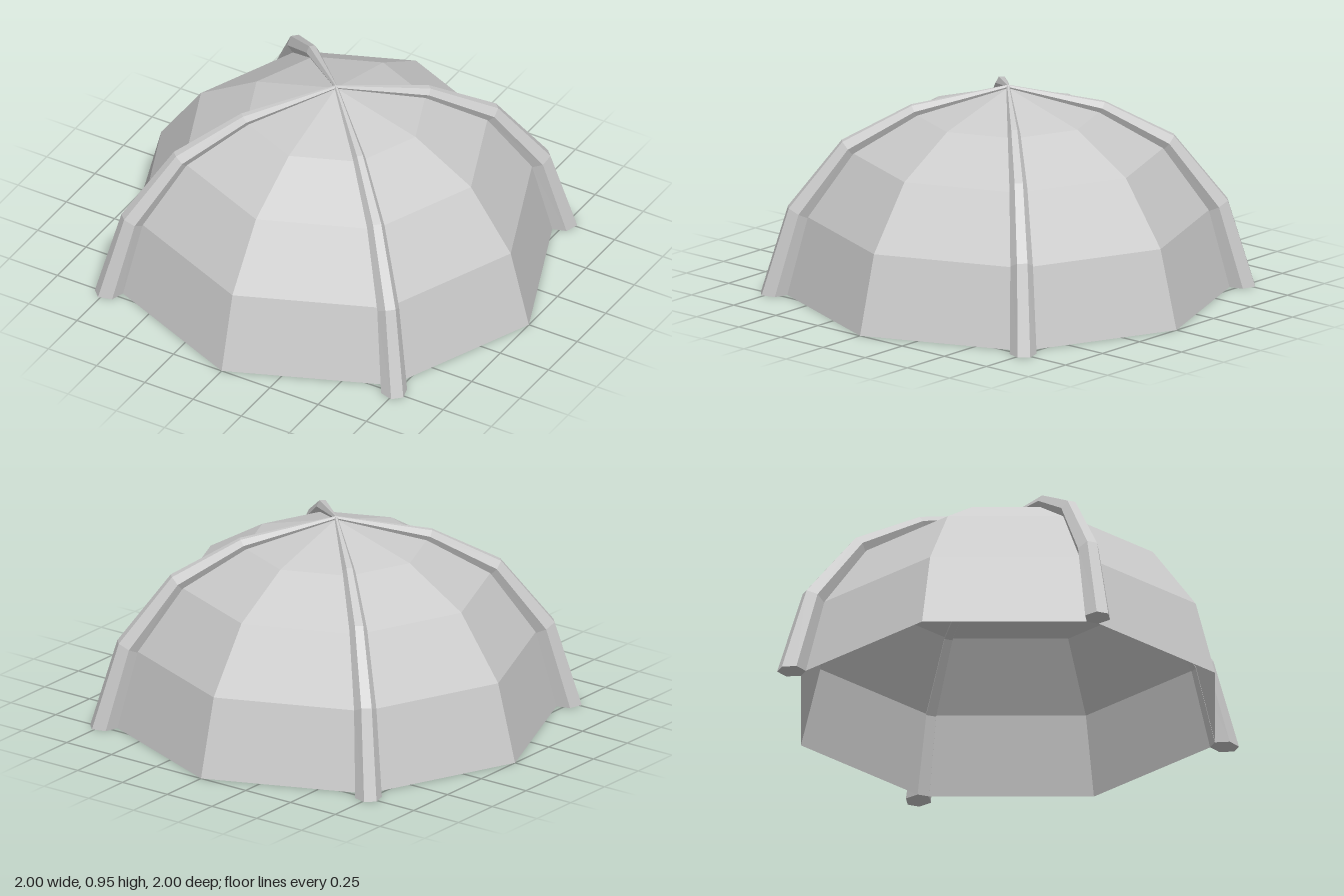
import * as THREE from 'three';

// canopy profile: radius, height, plus rib lean (degrees) and rib taper
const rings = [
  { r: 1.0, y: 0, lean: 0, taper: 1 },
  { r: 0.906, y: 0.358, lean: 29, taper: 0.84 },
  { r: 0.7, y: 0.648, lean: 53, taper: 0.67 },
  { r: 0.412, y: 0.818, lean: 67, taper: 0.48 },
  { r: 0, y: 0.935, lean: 90, taper: 0.13 },
];

// hexagonal rib section: distance outward from the canopy, sideways offset
const section = [
  [0.103, -0.028], [0.103, 0.028], [0.046, 0.06],
  [-0.013, 0.028], [-0.013, -0.028], [0.046, -0.06],
];

// Tapered rib lofted through the rings, running out along +x
function ribGeometry() {
  const n = section.length;
  const positions = [];
  const index = [];
  for (const { r, y, lean, taper } of rings) {
    const a = THREE.MathUtils.degToRad(lean);
    for (const [out, side] of section) {
      positions.push(
        r + Math.cos(a) * out * taper,
        y + Math.sin(a) * out * taper,
        side * taper
      );
    }
  }
  for (let i = 0; i < rings.length - 1; i++) {
    for (let k = 0; k < n; k++) {
      const a = i * n + k;
      const b = i * n + ((k + 1) % n);
      index.push(a, a + n, b + n, a, b + n, b);
    }
  }
  // end caps
  const top = (rings.length - 1) * n;
  for (let k = 1; k < n - 1; k++) {
    index.push(0, k, k + 1, top, top + k + 1, top + k);
  }
  const geometry = new THREE.BufferGeometry();
  geometry.setAttribute('position', new THREE.Float32BufferAttribute(positions, 3));
  geometry.setIndex(index);
  const flat = geometry.toNonIndexed();
  flat.computeVertexNormals();
  return flat;
}

export function createModel() {
  const group = new THREE.Group();
  group.name = 'domeTent';
  const fabric = new THREE.MeshStandardMaterial({
    color: 0xcccccc, flatShading: true, side: THREE.DoubleSide,
  });
  const pole = new THREE.MeshStandardMaterial({ color: 0xcccccc, flatShading: true });

  // Eight-sided canopy, open underneath
  const profile = rings.map(({ r, y }) => new THREE.Vector2(r, y));
  const canopy = new THREE.Mesh(new THREE.LatheGeometry(profile, 8), fabric);
  canopy.name = 'canopy';
  group.add(canopy);

  // Four ribs over the diagonal seams
  const geometry = ribGeometry();
  const names = ['ribBackLeft', 'ribBackRight', 'ribFrontRight', 'ribFrontLeft'];
  names.forEach((name, i) => {
    const rib = new THREE.Mesh(geometry, pole);
    rib.name = name;
    rib.rotation.y = Math.PI / 4 + (i * Math.PI) / 2;
    group.add(rib);
  });

  return group;
}
